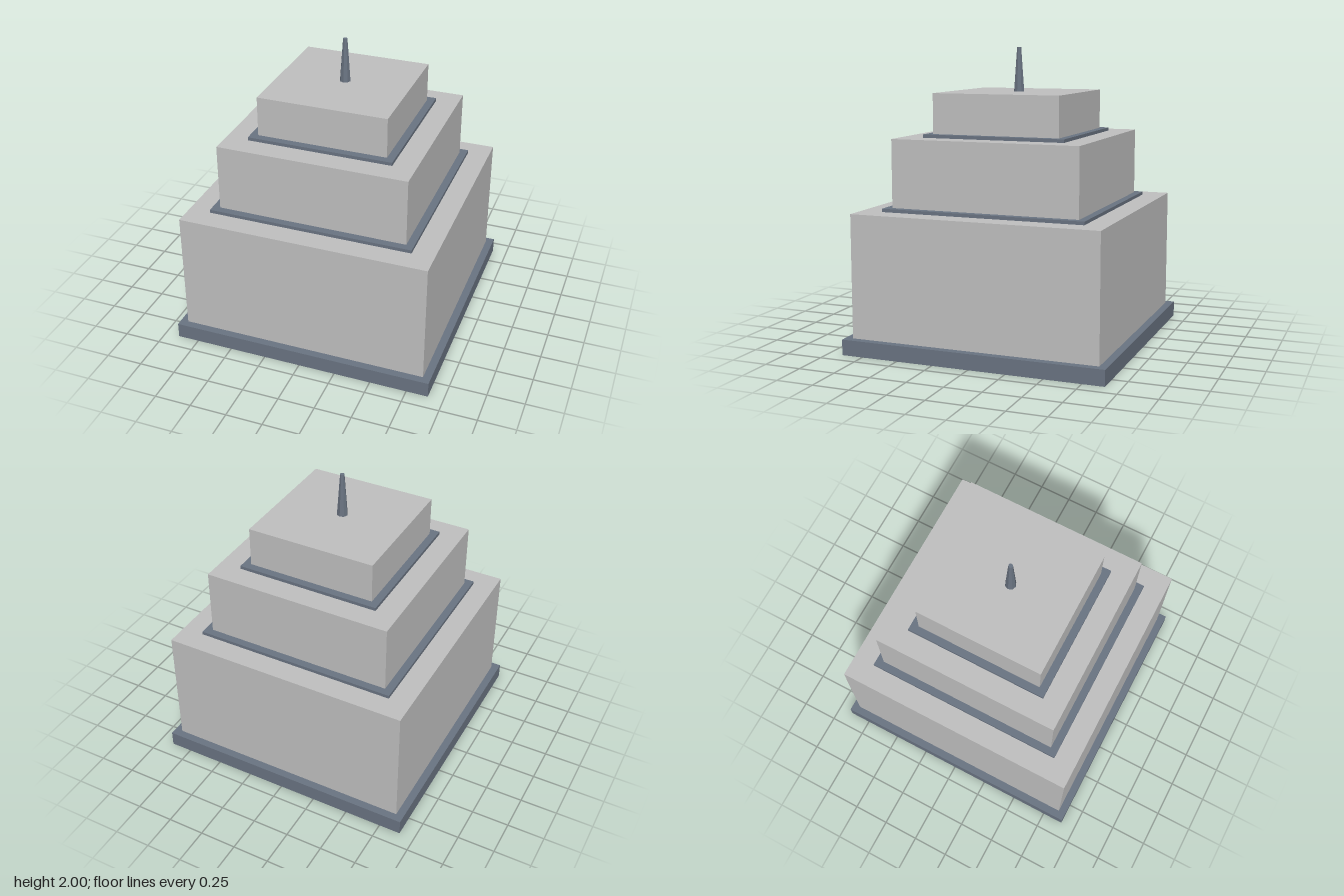
import * as THREE from 'three';

export function createModel() {
  const model = new THREE.Group();
  const stone = new THREE.MeshStandardMaterial({ color: 0xc0c0c0 });
  stone.name = 'pale stone';
  const slate = new THREE.MeshStandardMaterial({ color: 0x6a7482 });
  slate.name = 'slate trim';

  function add(name, geometry, material, y = 0) {
    const mesh = new THREE.Mesh(geometry, material);
    mesh.name = name;
    mesh.position.y = y;
    model.add(mesh);
  }

  // Square block from y0 to y1
  function block(name, half, y0, y1, material) {
    add(name, new THREE.BoxGeometry(half * 2, y1 - y0, half * 2), material, (y0 + y1) / 2);
  }

  // Square outline as a list of corners
  function square(half) {
    return [[-1, -1], [1, -1], [1, 1], [-1, 1]].map(([x, y]) => new THREE.Vector2(x * half, y * half));
  }

  // Plinth frame around the foot of the lowest tier, whose underside stays visible
  const frame = new THREE.Shape(square(0.897));
  frame.holes.push(new THREE.Path(square(0.845)));
  const plinth = new THREE.ExtrudeGeometry(frame, { depth: 0.105, bevelEnabled: false });
  plinth.rotateX(-Math.PI / 2);
  add('plinth', plinth, slate);

  // Three stepped tiers with thin ledges between them
  block('lowerTier', 0.845, 0, 0.933, stone);
  block('lowerLedge', 0.695, 0.933, 0.955, slate);
  block('middleTier', 0.644, 0.955, 1.41, stone);
  block('upperLedge', 0.491, 1.41, 1.432, slate);
  block('upperTier', 0.44, 1.432, 1.702, stone);

  // Tapered eight-sided spire
  const spire = new THREE.CylinderGeometry(0.015, 0.037, 0.298, 8).toNonIndexed();
  spire.computeVertexNormals();
  add('spire', spire, slate, 1.851);

  return model;
}
